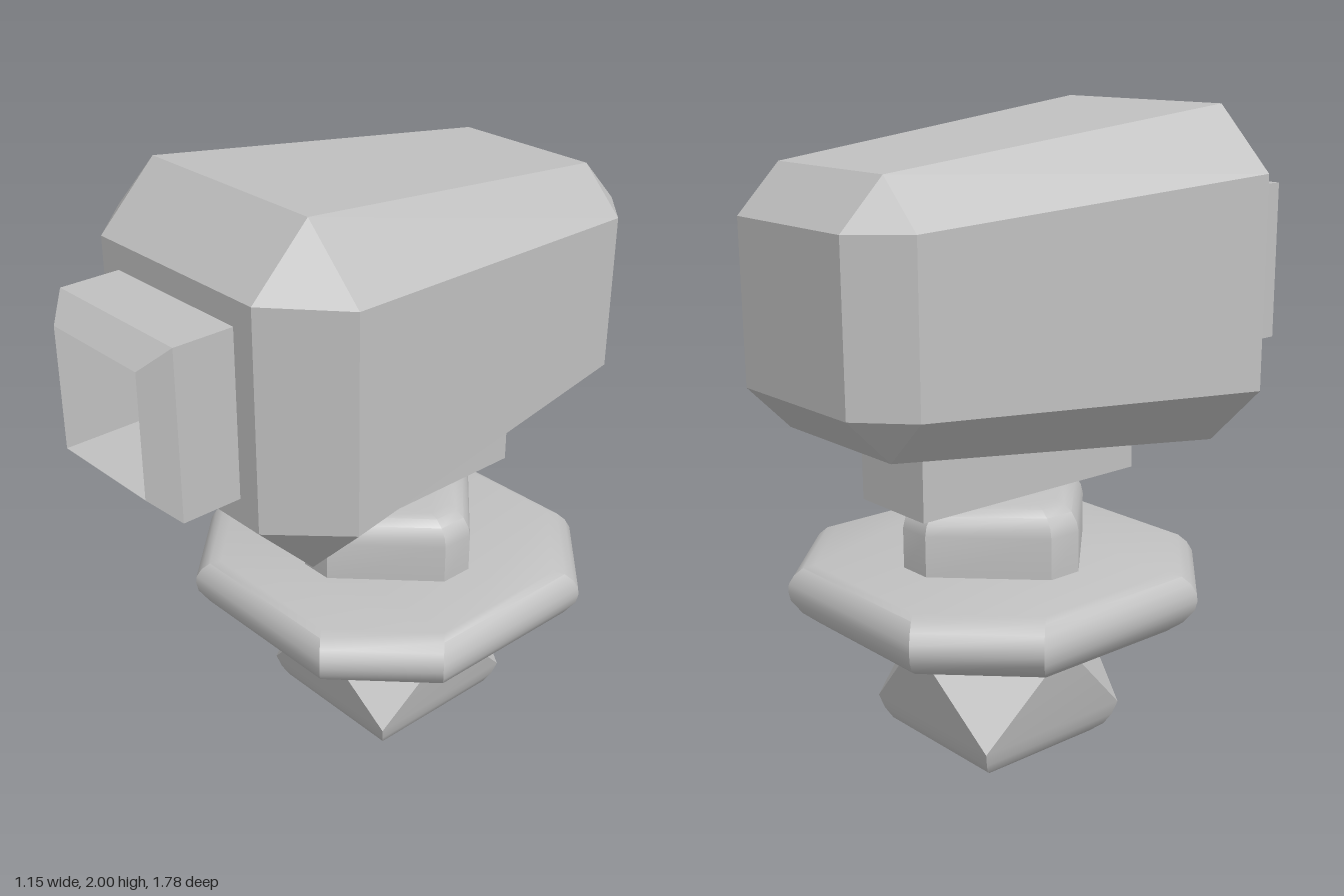
import * as THREE from 'three';
import { toCreasedNormals } from 'three/addons/utils/BufferGeometryUtils.js';

// Rectangle of half sizes a, b with corners cut by c, counter-clockwise at height w.
const ring = ([w, a, b, c]) => [
  [a, c - b], [a, b - c], [a - c, b], [c - a, b],
  [-a, b - c], [-a, c - b], [c - a, -b], [a - c, -b],
].map(([x, y]) => new THREE.Vector3(x, y, w));

// Skins a list of sections along +z and caps both ends.
function loft(sections) {
  const rings = sections.map(ring), pos = [];
  const tri = (p, q, r) => {
    const area = q.clone().sub(p).cross(r.clone().sub(p)).length();
    if (area > 1e-7) for (const v of [p, q, r]) pos.push(v.x, v.y, v.z);
  };
  for (let i = 0; i < rings.length - 1; i++) {
    const lo = rings[i], hi = rings[i + 1];
    for (let j = 0; j < 8; j++) {
      const k = (j + 1) % 8;
      tri(lo[j], lo[k], hi[k]);
      tri(lo[j], hi[k], hi[j]);
    }
  }
  const first = rings[0], last = rings[rings.length - 1];
  for (let j = 1; j < 7; j++) {
    tri(first[0], first[j + 1], first[j]);
    tri(last[0], last[j], last[j + 1]);
  }
  const geo = new THREE.BufferGeometry();
  geo.setAttribute('position', new THREE.Float32BufferAttribute(pos, 3));
  geo.computeVertexNormals();
  return geo;
}

// Upright loft with square sections [y, half width, corner cut], softly rounded.
function upright(profile) {
  const geo = loft(profile.map(([y, a, c]) => [y, a, a, c]));
  geo.rotateX(-Math.PI / 2);
  return toCreasedNormals(geo, 0.5);
}

export function createModel() {
  const grey = new THREE.MeshStandardMaterial({ color: 0xc0c0c0 });
  grey.name = 'grey';
  const model = new THREE.Group();
  model.name = 'camera';
  const add = (name, geo, y, z) => {
    const mesh = new THREE.Mesh(geo, grey);
    mesh.name = name;
    mesh.position.set(0, y, z);
    model.add(mesh);
  };

  // Tapered housing that runs on into the hollow square lens barrel
  add('housing', loft([
    [-0.89, 0.25, 0.245, 0],
    [-0.75, 0.39, 0.387, 0.14],
    [0.44, 0.53, 0.525, 0.195],
    [0.63, 0.335, 0.335, 0],
    [0.63, 0.258, 0.256, 0],
    [0.82, 0.258, 0.256, 0],
    [0.89, 0.19, 0.187, 0],
    [0.3, 0.19, 0.187, 0],
  ]), 1.475, 0);

  // Mounting rail under the housing
  add('rail', new THREE.BoxGeometry(0.3, 0.3, 0.84), 1.0, -0.15);

  // Eight-sided stand
  const cut = 0.265, z = -0.175;
  add('foot', upright([
    [0, 0.175, 0], [0.012, 0.21, 0], [0.04, 0.243, 0], [0.075, 0.262, 0],
    [0.12, 0.275, 0], [0.35, 0.32, cut],
  ]), 0, z);
  add('collar', upright([
    [0.35, 0.32, cut], [0.45, 0.51, cut], [0.48, 0.545, cut], [0.52, 0.57, cut],
    [0.55, 0.575, cut], [0.575, 0.573, cut], [0.605, 0.56, cut],
    [0.628, 0.54, cut], [0.638, 0.515, cut],
  ]), 0, z);
  add('knob', upright([
    [0.63, 0.32, cut], [0.765, 0.32, cut], [0.795, 0.313, 0.26],
    [0.823, 0.294, 0.245], [0.842, 0.267, 0.223], [0.85, 0.237, 0.197],
  ]), 0, z);

  return model;
}
